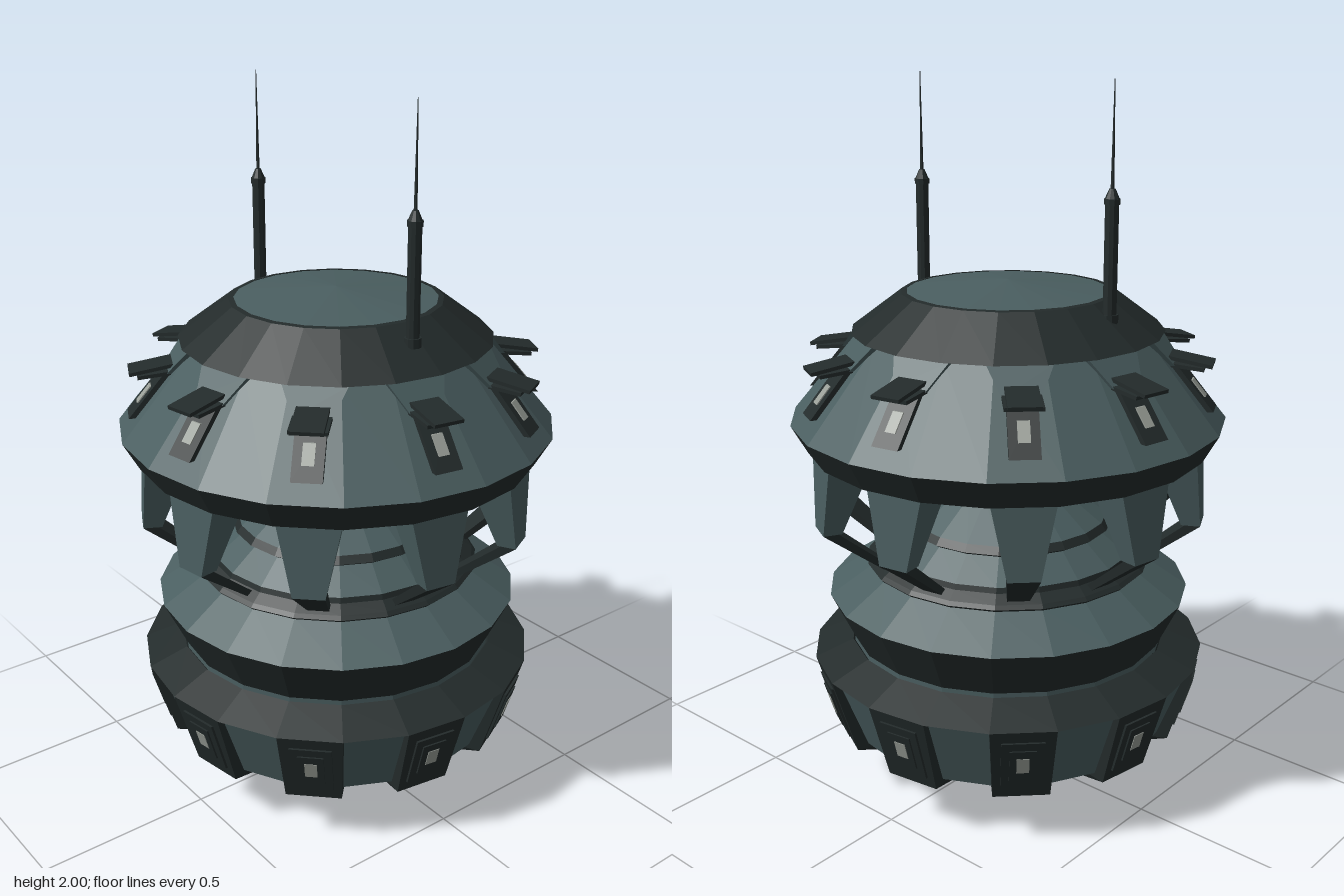
import * as THREE from 'three';

const mat = (color) => new THREE.MeshStandardMaterial({ color, flatShading: true, side: THREE.DoubleSide });
const SIDES = 20;
const BAYS = 10;

export function createModel() {
  const dark = mat(0x232b2b), light = mat(0x4a5e60), grey = mat(0x707878), glass = mat(0x9a9f98);
  const root = new THREE.Group();

  const add = (parent, name, geometry, material) => {
    const mesh = new THREE.Mesh(geometry, material);
    mesh.name = name;
    parent.add(mesh);
    return mesh;
  };

  // Turned ring, profile listed from bottom to top as [radius, y]
  const ring = (name, profile, material) =>
    add(root, name, new THREE.LatheGeometry(profile.map(([r, y]) => new THREE.Vector2(r, y)), SIDES), material);

  // Solid lofted through rectangles [y, inner z, outer z, half width]
  const loft = (sections) => {
    const pos = [], index = [];
    for (const [y, z0, z1, w] of sections) pos.push(-w, y, z1, w, y, z1, w, y, z0, -w, y, z0);
    for (let s = 0; s < sections.length - 1; s++) {
      for (let i = 0; i < 4; i++) {
        const a = s * 4 + i, b = s * 4 + (i + 1) % 4;
        index.push(a, b, b + 4, a, b + 4, a + 4);
      }
    }
    const t = (sections.length - 1) * 4;
    index.push(0, 2, 1, 0, 3, 2, t, t + 1, t + 2, t, t + 2, t + 3);
    const g = new THREE.BufferGeometry();
    g.setAttribute('position', new THREE.Float32BufferAttribute(pos, 3));
    g.setIndex(index);
    g.computeVertexNormals();
    return g;
  };

  // Plate lying on a sloped wall whose distance at height y is wall(y)
  const plate = (wall, y0, y1, w, raise) =>
    loft([y0, y1].map((y) => [y, wall(y) - 0.02, wall(y) + raise, w]));
  const podWall = (y) => 0.494 + (y - 0.15) * 0.3;
  const domeWall = (y) => 0.602 - (y - 1.08) * 0.82;

  // Lower hull
  ring('keelCone', [[0, 0.012], [0.47, 0.165]], dark);
  ring('lowerWall', [[0.47, 0.165], [0.55, 0.375]], light);
  ring('lowerRoof', [[0.545, 0.375], [0.57, 0.38], [0.46, 0.425]], dark);
  ring('waistSeam', [[0.455, 0.42], [0.455, 0.44]], light);
  ring('waistBand', [[0.455, 0.435], [0.52, 0.57]], dark);

  // Stepped centre column
  ring('shoulder', [[0.52, 0.57], [0.40, 0.65]], light);
  ring('shoulderRim', [[0.40, 0.645], [0.41, 0.655], [0.40, 0.665], [0.37, 0.685], [0.365, 0.70]], dark);
  ring('upperStep', [[0.365, 0.70], [0.285, 0.76]], light);
  ring('stepRim', [[0.285, 0.755], [0.30, 0.765], [0.285, 0.785]], dark);
  ring('columnCone', [[0.285, 0.785], [0.165, 0.87]], light);
  ring('columnNeck', [[0.16, 0.865], [0.16, 0.91]], grey);
  ring('columnCollar', [[0.15, 0.905], [0.17, 0.91], [0.18, 0.95], [0.25, 0.965], [0.27, 1.0]], dark);

  // Upper dome
  ring('domeUnderside', [[0.27, 1.0], [0.32, 1.07], [0.545, 1.0]], light);
  ring('domeRim', [[0.545, 1.0], [0.565, 1.0], [0.61, 1.08]], dark);
  ring('dome', [[0.61, 1.08], [0.41, 1.32]], light);
  ring('crownRing', [[0.40, 1.32], [0.435, 1.325], [0.295, 1.43], [0.28, 1.432]], dark);
  ring('crownCap', [[0.282, 1.43], [0, 1.46]], light);

  // Ten identical bays around the axis
  for (let k = 0; k < BAYS; k++) {
    const bay = new THREE.Group();
    bay.name = 'bay' + (k + 1);
    bay.rotation.y = THREE.MathUtils.degToRad(-9 + (360 / BAYS) * k);
    root.add(bay);

    // Lower window pod, tapering to the keel point
    add(bay, 'pod', loft([[0, 0, 0, 0], [0.15, 0.40, 0.494, 0.078], [0.38, 0.48, 0.563, 0.089]]), dark);
    add(bay, 'podFrame', plate(podWall, 0.185, 0.345, 0.058, 0.007), dark);
    add(bay, 'podInnerFrame', plate(podWall, 0.215, 0.32, 0.036, 0.012), dark);
    add(bay, 'podWindow', plate(podWall, 0.245, 0.295, 0.017, 0.014), glass);

    // Hanging leg with a bent strut
    add(bay, 'leg', loft([[0.80, 0.505, 0.558, 0.043], [1.02, 0.42, 0.545, 0.088]]), light);
    add(bay, 'legStrut', loft([[0.67, 0.355, 0.385, 0.03], [0.80, 0.515, 0.558, 0.043]]), dark);

    // Dome window with dormer and hood
    add(bay, 'domeFrame', plate(domeWall, 1.13, 1.26, 0.04, 0.018), dark);
    add(bay, 'domeWindow', plate(domeWall, 1.165, 1.21, 0.016, 0.022), glass);
    add(bay, 'dormer', loft([[1.255, 0.42, 0.472, 0.05], [1.325, 0.38, 0.415, 0.085]]), light);
    const hood = add(bay, 'hood', new THREE.BoxGeometry(0.085, 0.01, 0.12), dark);
    hood.position.set(0, 1.265, 0.512);
    hood.rotation.x = 0.17;
    const brace = add(bay, 'hoodBrace', new THREE.BoxGeometry(0.1, 0.01, 0.09), dark);
    brace.position.set(0, 1.252, 0.505);
    brace.rotation.x = 0.1;
  }

  // Antennas, front and back
  for (const [name, z] of [['frontAntenna', 0.342], ['backAntenna', -0.333]]) {
    const antenna = new THREE.Group();
    antenna.name = name;
    antenna.position.set(-0.02, 0, z);
    root.add(antenna);
    const tube = (part, r0, r1, y0, y1) => {
      add(antenna, part, new THREE.CylinderGeometry(r1, r0, y1 - y0, 10), dark).position.y = (y0 + y1) / 2;
    };
    tube('foot', 0.023, 0.023, 1.38, 1.405);
    tube('mast', 0.018, 0.018, 1.38, 1.69);
    tube('mastCollar', 0.021, 0.021, 1.69, 1.705);
    tube('mastTip', 0.019, 0.008, 1.705, 1.73);
    tube('needle', 0.005, 0.001, 1.72, 2.0);
  }
  return root;
}
